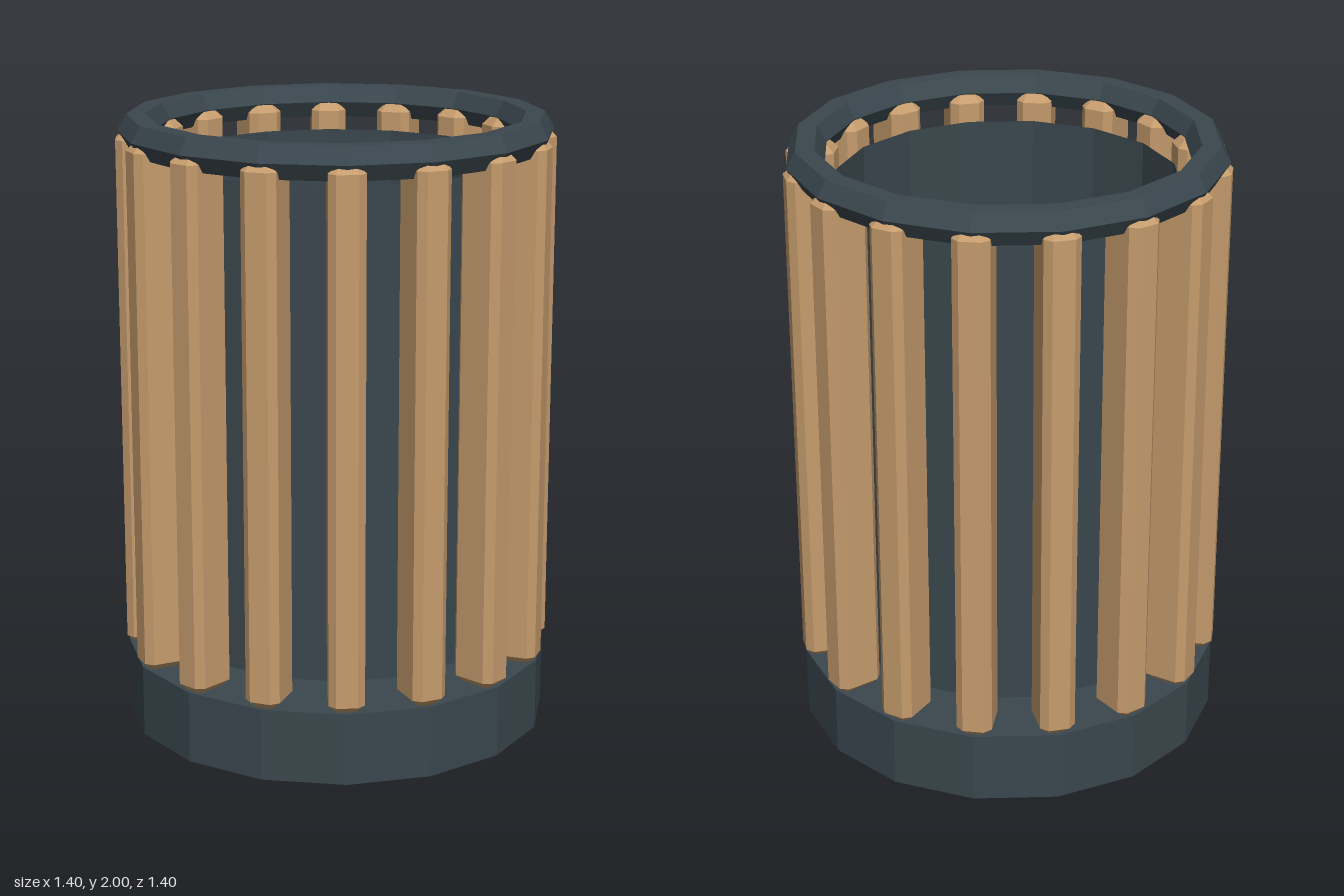
import * as THREE from 'three';

const SIDES = 16;

// Give every face its own normal for a faceted look
function faceted(geometry) {
  const g = geometry.index ? geometry.toNonIndexed() : geometry;
  g.computeVertexNormals();
  return g;
}

// Upright bar with all edges chamfered, standing on y = 0, centred on x and z
function slatGeometry(width, depth, height, c) {
  const w = width / 2, d = depth / 2;
  const outline = [
    [w - c, -d], [w, -d + c], [w, d - c], [w - c, d],
    [-w + c, d], [-w, d - c], [-w, -d + c], [-w + c, -d],
  ].map(([x, y]) => new THREE.Vector2(x, y));
  const g = new THREE.ExtrudeGeometry(new THREE.Shape(outline), {
    depth: height - 2 * c,
    bevelEnabled: true,
    bevelSegments: 1,
    bevelSize: c,
    bevelThickness: c,
    bevelOffset: -c,
  });
  g.translate(0, 0, c);
  g.rotateX(-Math.PI / 2);
  return faceted(g);
}

export function createModel() {
  const model = new THREE.Group();
  model.name = 'slattedBin';

  const metal = new THREE.MeshStandardMaterial({ color: 0x3a474e });
  metal.name = 'dark metal';
  const liner = new THREE.MeshStandardMaterial({ color: 0x3a474e, side: THREE.DoubleSide });
  liner.name = 'dark liner';
  const wood = new THREE.MeshStandardMaterial({ color: 0xc69c6d });
  wood.name = 'light wood';

  function add(name, geometry, material, y, parent = model) {
    const mesh = new THREE.Mesh(geometry, material);
    mesh.name = name;
    mesh.position.y = y;
    parent.add(mesh);
    return mesh;
  }

  // Solid base drum
  add('base', faceted(new THREE.CylinderGeometry(0.695, 0.695, 0.235, SIDES)), metal, 0.1175);

  // Open inner bin, slightly tapered, with a floor
  add('innerBin', faceted(new THREE.CylinderGeometry(0.545, 0.535, 1.58, SIDES, 1, true)), liner, 1.07);
  const floor = new THREE.CircleGeometry(0.535, SIDES);
  floor.rotateX(-Math.PI / 2);
  add('binFloor', floor, liner, 0.28);

  // Hexagonal-section top ring
  const ring = new THREE.TorusGeometry(0.635, 0.06, 6, SIDES);
  ring.rotateX(-Math.PI / 2);
  add('topRing', faceted(ring), metal, 1.948);

  // Wooden slats around the bin
  const slats = new THREE.Group();
  slats.name = 'slats';
  model.add(slats);
  const slat = slatGeometry(0.114, 0.155, 1.71, 0.023);
  for (let i = 0; i < SIDES; i++) {
    const a = (i / SIDES) * Math.PI * 2;
    const mesh = add('slat', slat, wood, 0.235, slats);
    mesh.position.x = Math.sin(a) * 0.6225;
    mesh.position.z = Math.cos(a) * 0.6225;
    mesh.rotation.y = a;
  }

  return model;
}
